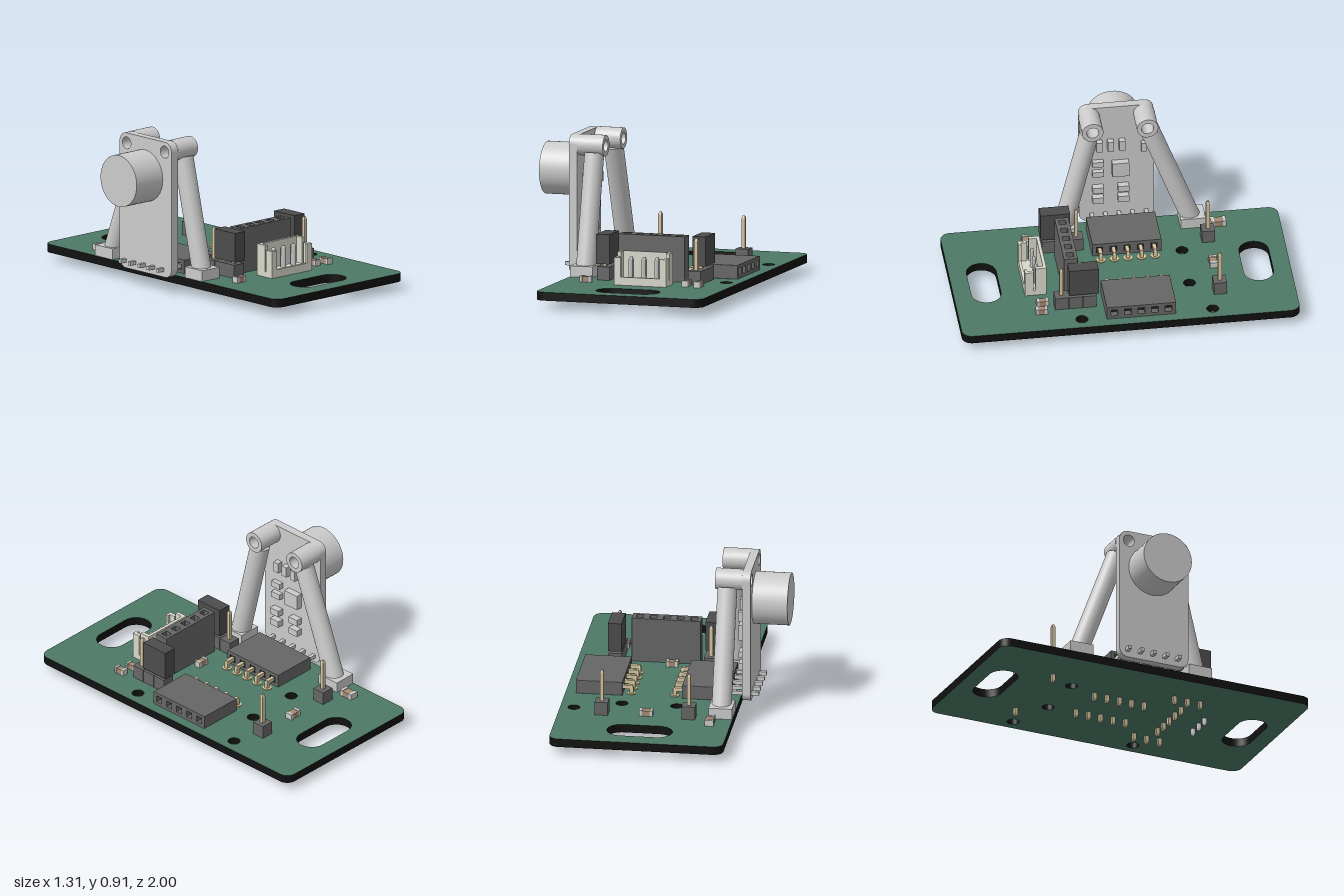
import * as THREE from 'three';

const mat = (color) => new THREE.MeshStandardMaterial({ color });
const grey = mat(0xcccccc), green = mat(0x4d7a66), black = mat(0x111111), dark = mat(0x666666);
const darker = mat(0x4c4c4c), hole = mat(0x1c1c1c), gold = mat(0xd8c08a), cream = mat(0xd9d8cc);
const tan = mat(0xa58a74);
const pinMat = mat(0xd5c5a0);
pinMat.flatShading = true;

const TOP = 0.11, PITCH = 0.0805;
const rows = [-2, -1, 0, 1, 2].map((i) => i * PITCH);

function add(parent, name, geo, material, x = 0, y = 0, z = 0) {
  const m = new THREE.Mesh(geo, material);
  m.name = name;
  m.position.set(x, y, z);
  parent.add(m);
  return m;
}

// box given by its extents
function box(parent, name, material, x0, x1, y0, y1, z0, z1) {
  return add(parent, name, new THREE.BoxGeometry(x1 - x0, y1 - y0, z1 - z0), material,
    (x0 + x1) / 2, (y0 + y1) / 2, (z0 + z1) / 2);
}

// rounded rectangle, used for outlines and slots
function roundRect(path, cx, cy, w, h, r) {
  const x = w / 2 - r, y = h / 2 - r;
  path.absarc(cx + x, cy + y, r, 0, Math.PI / 2);
  path.absarc(cx - x, cy + y, r, Math.PI / 2, Math.PI);
  path.absarc(cx - x, cy - y, r, Math.PI, Math.PI * 1.5);
  path.absarc(cx + x, cy - y, r, Math.PI * 1.5, Math.PI * 2);
  path.closePath();
  return path;
}
const circle = (x, y, r) => new THREE.Path().absarc(x, y, r, 0, Math.PI * 2);
const extrude = (shape, depth) =>
  new THREE.ExtrudeGeometry(shape, { depth, bevelEnabled: false, curveSegments: 20 });

// square pin with tapered ends, upright from y0 to y1
function pin(parent, x, z, y0, y1, material = pinMat, w = 0.011) {
  const r = w * Math.SQRT2;
  const pts = [[0, y0], [r * 0.5, y0], [r, y0 + 0.015], [r, y1 - 0.015], [r * 0.5, y1], [0, y1]];
  const geo = new THREE.LatheGeometry(pts.map((p) => new THREE.Vector2(...p)), 4).rotateY(Math.PI / 4);
  return add(parent, 'pin', geo, material, x, 0, z);
}

// five-way socket, open towards its local +z
function socket(name, depth) {
  const g = new THREE.Group();
  g.name = name;
  const s = roundRect(new THREE.Shape(), 0, 0, 0.41, 0.082, 0.002);
  rows.forEach((x) => s.holes.push(roundRect(new THREE.Path(), x, 0, 0.042, 0.042, 0.002)));
  add(g, 'socketBody', extrude(s, depth), dark);
  box(g, 'socketFloor', hole, -0.2, 0.2, -0.036, 0.036, 0.004, depth - 0.04);
  return g;
}

// small surface part with two metal end caps; length runs along x, or z when turned
function chipPart(parent, x, z, len, wid, turned) {
  const g = new THREE.Group();
  g.name = 'smallComponent';
  box(g, 'componentBody', tan, -len * 0.3, len * 0.3, 0, 0.032, -wid / 2, wid / 2);
  for (const s of [-1, 1]) add(g, 'componentEnd', new THREE.BoxGeometry(len * 0.22, 0.036, wid + 0.004), grey, s * len * 0.39, 0.018, 0);
  g.position.set(x, TOP, z);
  if (turned) g.rotation.y = Math.PI / 2;
  parent.add(g);
}

function buildBoard(root) {
  const s = roundRect(new THREE.Shape(), 0.137, 0, 1.03, 2, 0.06);
  for (const e of [-1, 1]) s.holes.push(roundRect(new THREE.Path(), 0.137, e * 0.807, 0.387, 0.176, 0.0875));
  for (const [x, z] of [[0.57, -0.49], [0.57, 0.285], [-0.025, -0.39], [0.3, -0.39]]) s.holes.push(circle(x, -z, 0.036));
  add(root, 'circuitBoard', extrude(s, 0.05).rotateX(-Math.PI / 2), [green, black], 0, 0.06, 0);
}

function buildMicrophone(root) {
  const g = new THREE.Group();
  g.name = 'microphoneModule';
  root.add(g);
  // upright plate: shape x runs along -z
  const s = roundRect(new THREE.Shape(), 0.0525, 0.5125, 0.445, 0.815, 0.055);
  for (const z of [0.11, -0.215]) s.holes.push(circle(-z, 0.86, 0.036));
  add(g, 'microphonePlate', extrude(s, 0.05).rotateY(Math.PI / 2), grey, -0.445);

  // capsule with a slightly rounded rim
  const pts = [[0, 0], [0.155, 0], [0.155, 0.2], [0.148, 0.208], [0, 0.208]];
  const profile = new THREE.Shape(pts.map((p) => new THREE.Vector2(...p)));
  add(g, 'microphoneCapsule', new THREE.CylinderGeometry(0.155, 0.155, 0.21, 48).rotateZ(Math.PI / 2), grey, -0.55, 0.69, -0.06);

  // standoff tubes, sloping struts and feet
  for (const [z, footZ] of [[0.11, 0.283], [-0.215, -0.485]]) {
    const ring = new THREE.Shape().absarc(0, 0, 0.063, 0, Math.PI * 2);
    ring.holes.push(circle(0, 0, 0.036));
    add(g, 'standoff', extrude(ring, 0.16).rotateY(Math.PI / 2), grey, -0.395, 0.86, z);
    const a = new THREE.Vector3(-0.303, 0.13, footZ), b = new THREE.Vector3(-0.303, 0.86, z);
    const dir = b.clone().sub(a).normalize();
    b.addScaledVector(dir, -0.05);
    const strut = add(g, 'strut', new THREE.CylinderGeometry(0.058, 0.058, a.distanceTo(b), 32), grey);
    strut.position.copy(a).add(b).multiplyScalar(0.5);
    strut.quaternion.setFromUnitVectors(new THREE.Vector3(0, 1, 0), dir);
    box(g, 'strutFoot', grey, -0.375, -0.235, TOP, 0.175, footZ - 0.074, footZ + 0.074);
  }

  // parts on the plate: z, y, width, height, thickness
  for (const [z, y, w, h, t] of [
    [0.052, 0.655, 0.036, 0.066, 0.035], [-0.015, 0.655, 0.036, 0.066, 0.035], [-0.083, 0.655, 0.036, 0.066, 0.035],
    [-0.073, 0.485, 0.1, 0.095, 0.04], [0.06, 0.527, 0.066, 0.036, 0.03], [0.06, 0.455, 0.066, 0.036, 0.03],
    [0.06, 0.345, 0.066, 0.04, 0.04], [0.06, 0.272, 0.066, 0.04, 0.04], [-0.09, 0.345, 0.066, 0.04, 0.04],
    [-0.09, 0.272, 0.066, 0.04, 0.04], [-0.212, 0.628, 0.03, 0.06, 0.03],
  ]) box(g, 'plateComponent', grey, -0.396, -0.395 + t, y - h / 2, y + h / 2, z - w / 2, z + w / 2);
  for (const r of rows) box(g, 'platePin', grey, -0.49, -0.29, 0.139, 0.161, r - 0.076, r - 0.054);
}

function buildSockets(root) {
  // two flat sockets facing outwards, with bent legs
  for (const side of [-1, 1]) {
    const g = socket('sideSocket', 0.275);
    g.rotation.y = side * Math.PI / 2;
    g.position.set(side > 0 ? 0.315 : -0.04, 0.151, -0.065);
    root.add(g);
    const px = side > 0 ? 0.265 : 0.008, inner = side > 0 ? 0.325 : -0.05;
    rows.forEach((r) => {
      const z = r - 0.065;
      pin(root, px, z, 0.008, 0.162);
      box(root, 'bentLeg', pinMat, Math.min(px, inner), Math.max(px, inner), 0.14, 0.162, z - 0.011, z + 0.011);
      add(root, 'solderPad', new THREE.CylinderGeometry(0.027, 0.027, 0.006, 20), gold, px, TOP + 0.001, z);
    });
  }
  // tall central socket
  const c = socket('centreSocket', 0.27);
  c.rotation.x = -Math.PI / 2;
  c.position.set(0.13, TOP, 0.318);
  root.add(c);
  rows.forEach((r) => pin(root, 0.135 + r, 0.318, 0.008, 0.13));
}

function buildHeaders(root) {
  // three-way headers with a jumper cap over two pins
  for (const [x, z0, z1] of [[-0.145, 0.262, 0.437], [0.42, 0.17, 0.345]]) {
    const g = new THREE.Group();
    g.name = 'jumperHeader';
    root.add(g);
    for (const z of [0.222, 0.305, 0.388]) {
      box(g, 'headerBase', dark, x - 0.039, x + 0.039, TOP, 0.19, z - 0.04, z + 0.04);
      pin(g, x, z, 0.008, 0.38);
    }
    box(g, 'headerBridge', dark, x - 0.03, x + 0.03, TOP, 0.188, 0.2, 0.41);
    box(g, 'jumperCap', darker, x - 0.041, x + 0.041, 0.207, 0.383, z0, z1);
  }
  // single pins
  for (const x of [-0.121, 0.395]) {
    box(root, 'singlePinBase', dark, x - 0.039, x + 0.039, TOP, 0.19, -0.594, -0.516);
    pin(root, x, -0.555, 0.008, 0.383);
  }
}

function buildPlug(root) {
  const g = new THREE.Group();
  g.name = 'plugConnector';
  root.add(g);
  const [x0, x1] = [-0.025, 0.297];
  box(g, 'plugFloor', cream, x0, x1, TOP, 0.142, 0.457, 0.585);
  box(g, 'plugBackWall', cream, x0, x1, 0.13, 0.3, 0.457, 0.476);
  box(g, 'plugFrontSill', cream, x0, x1, 0.13, 0.158, 0.568, 0.585);
  for (const [a, b, c] of [[x0, x0 + 0.022, x0 + 0.04], [x1, x1 - 0.022, x1 - 0.04]]) {
    const [lo, hi, hiF] = [Math.min(a, b), Math.max(a, b), Math.max(a, c)];
    box(g, 'plugSideBack', cream, lo, hi, 0.13, 0.3, 0.458, 0.522);
    box(g, 'plugSideFront', cream, lo, hi, 0.13, 0.273, 0.533, 0.584);
    box(g, 'plugCornerPost', cream, Math.min(a, c), hiF, 0.13, 0.273, 0.568, 0.585);
  }
  for (const i of [-1, 0, 1]) pin(g, 0.136 + i * PITCH, 0.51, 0.015, 0.272, grey);
}

export function createModel() {
  const root = new THREE.Group();
  root.name = 'microphoneBoard';
  buildBoard(root);
  buildMicrophone(root);
  buildSockets(root);
  buildHeaders(root);
  buildPlug(root);
  chipPart(root, -0.255, -0.635, 0.09, 0.05, true);
  chipPart(root, 0.133, -0.553, 0.08, 0.045, false);
  chipPart(root, 0.087, 0.23, 0.07, 0.036, false);
  chipPart(root, -0.22, 0.512, 0.07, 0.036, false);
  chipPart(root, 0.395, 0.495, 0.07, 0.036, true);
  chipPart(root, 0.475, 0.512, 0.07, 0.036, true);
  return root;
}
